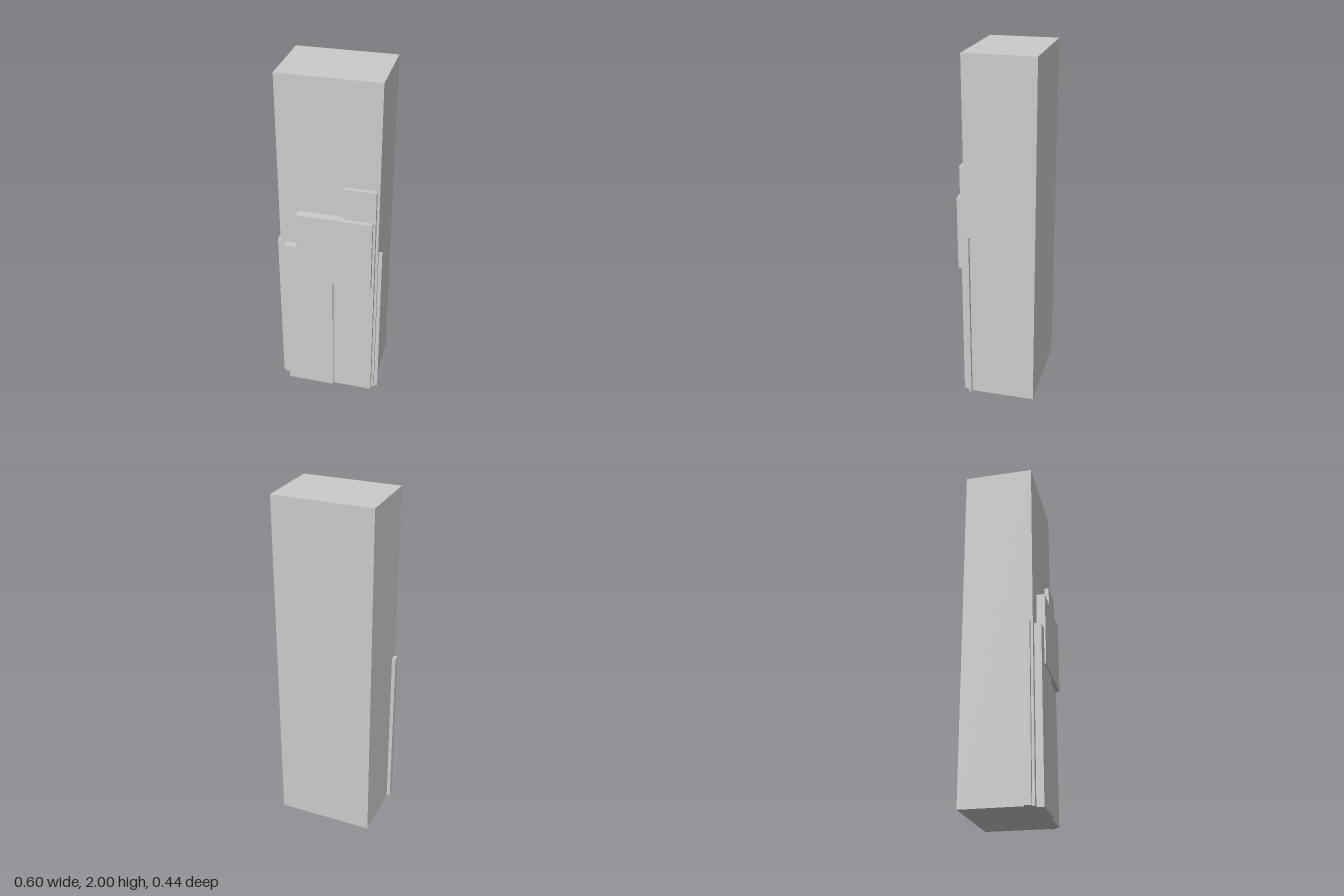
import * as THREE from 'three';

export function createModel() {
  const group = new THREE.Group();
  const grey = new THREE.MeshStandardMaterial({ color: 0xcccccc });
  grey.name = 'light grey';

  // Box given by its two extreme corners
  const block = (name, [x0, y0, z0], [x1, y1, z1]) => {
    const mesh = new THREE.Mesh(new THREE.BoxGeometry(x1 - x0, y1 - y0, z1 - z0), grey);
    mesh.position.set((x0 + x1) / 2, (y0 + y1) / 2, (z0 + z1) / 2);
    mesh.name = name;
    group.add(mesh);
  };

  const face = 0.173; // front plane of the tower

  block('tower', [-0.28, 0, -0.222], [0.28, 2, face]);

  // Stepped panels on the front
  block('frontRightPanel', [-0.248, 0, face], [0.032, 1, 0.213]);
  block('crossPlate', [-0.172, 0.79, face], [0.253, 1.215, 0.222]);

  // Tall panel with a narrower upper end
  const outline = new THREE.Shape([
    [0.032, 0], [0.266, 0], [0.266, 1.4], [0.095, 1.4], [0.095, 1], [0.032, 1],
  ].map(([x, y]) => new THREE.Vector2(x, y)));
  const tallPanel = new THREE.Mesh(
    new THREE.ExtrudeGeometry(outline, { depth: 0.025, bevelEnabled: false }), grey);
  tallPanel.position.z = face;
  tallPanel.name = 'frontLeftPanel';
  group.add(tallPanel);

  // Slim fins on the sides
  block('rightFin', [-0.301, 0, 0.121], [-0.28, 1, 0.159]);
  block('leftFin', [0.28, 0, 0.146], [0.301, 1, 0.159]);

  return group;
}
